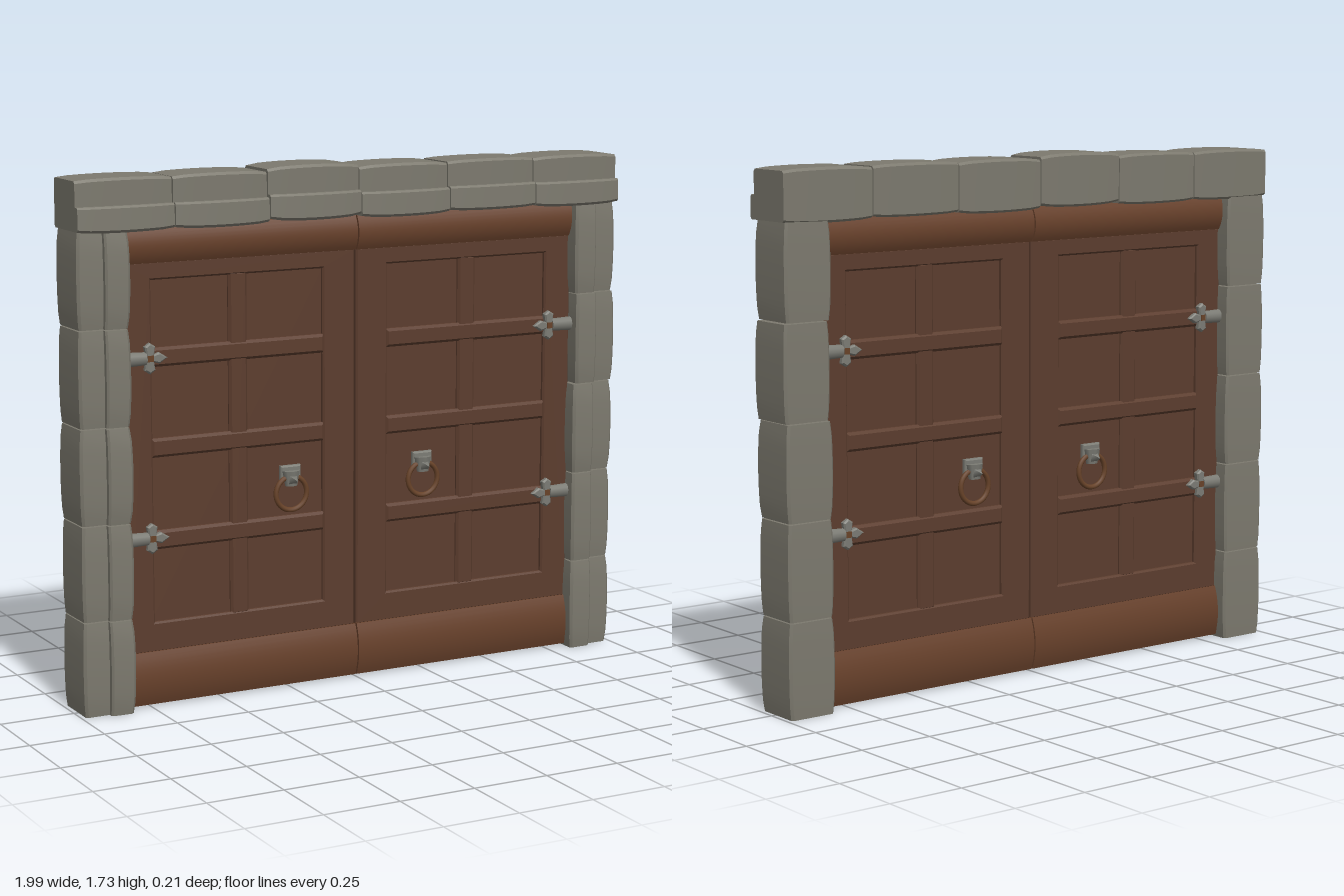
import * as THREE from 'three';
import { toCreasedNormals } from 'three/addons/utils/BufferGeometryUtils.js';

const mat = (name, color) => {
  const m = new THREE.MeshStandardMaterial({ color });
  m.name = name;
  return m;
};

export function createModel() {
  const stone = mat('stone grey', 0x7c796e);
  const wood = mat('panel brown', 0x5c3d2e);
  const railWood = mat('rail brown', 0x68412b);
  const iron = mat('iron grey', 0x7b7b74);
  const bronze = mat('ring brown', 0x674228);

  const model = new THREE.Group();
  model.name = 'doubleDoor';

  const add = (parent, name, geometry, material, x = 0, y = 0, z = 0) => {
    const mesh = new THREE.Mesh(geometry, material);
    mesh.name = name;
    mesh.position.set(x, y, z);
    parent.add(mesh);
    return mesh;
  };

  const polygon = (pts) => new THREE.Shape(pts.map(([x, y]) => new THREE.Vector2(x, y)));
  const rect = (x0, y0, x1, y1) => [[x0, y0], [x1, y0], [x1, y1], [x0, y1]];

  // Slab centred on z = 0 with chamfered edges, kept within its outline
  const slab = (shape, thickness, bevel) => {
    const g = new THREE.ExtrudeGeometry(shape, {
      depth: thickness - 2 * bevel, bevelEnabled: true, bevelSegments: 1,
      bevelThickness: bevel, bevelSize: bevel, bevelOffset: -bevel,
    });
    return g.translate(0, 0, bevel - thickness / 2);
  };

  // Stone with a raised lip on its inner side, swelling between its ends
  const stoneGeometry = (length, swell) => {
    const profile = polygon([
      [0.008, -0.09], [0.016, -0.097], [0.158, -0.097], [0.165, -0.09],
      [0.165, 0.084], [0.157, 0.091], [0.094, 0.089], [0.088, 0.083],
      [0.088, 0.069], [0.016, 0.069], [0.008, 0.062],
    ]);
    const g = new THREE.ExtrudeGeometry(profile, { depth: length, steps: 8, bevelEnabled: false });
    const p = g.attributes.position;
    for (let i = 0; i < p.count; i++) {
      const t = p.getZ(i) / length;
      const s = Math.sqrt(Math.max(0, Math.sin(Math.PI * t))) * swell;
      const u = p.getX(i), w = p.getY(i);
      p.setX(i, u + (u - 0.086) * 0.09 * s);
      p.setY(i, w + (w > 0 ? w * 0.1 * s : w * 0.025 * s));
      p.setZ(i, 0.002 + t * (length - 0.004));
    }
    return toCreasedNormals(g, 0.6);
  };

  const swells = [1, 0.8, 1.1, 0.85, 1, 0.9];
  const X = new THREE.Vector3(1, 0, 0), Y = new THREE.Vector3(0, 1, 0), Z = new THREE.Vector3(0, 0, 1);
  const placeStone = (parent, name, length, swell, u, along, origin) => {
    const g = stoneGeometry(length, swell);
    g.applyMatrix4(new THREE.Matrix4().makeBasis(u, Z, along).setPosition(...origin));
    add(parent, name, g, stone);
  };

  // Side pillars
  const pillarStep = 1.56 / 5;
  for (const side of [1, -1]) {
    const pillar = new THREE.Group();
    pillar.name = side > 0 ? 'leftPillar' : 'rightPillar';
    model.add(pillar);
    for (let i = 0; i < 5; i++) {
      const base = side > 0 ? i * pillarStep : (i + 1) * pillarStep;
      const shift = side > 0 && i === 3 ? 1 : 0.993;
      placeStone(pillar, 'pillarStone', pillarStep, swells[i],
        X.clone().multiplyScalar(-side), Y.clone().multiplyScalar(side), [side * shift, base, 0]);
    }
  }

  // Lintel
  const lintel = new THREE.Group();
  lintel.name = 'lintel';
  model.add(lintel);
  const lintelStep = 1.99 / 6;
  for (let i = 0; i < 6; i++) {
    const raised = i === 3 ? 0.008 : i === 1 ? 0.003 : 0;
    placeStone(lintel, 'lintelStone', lintelStep, i === 3 ? 1.4 : swells[i],
      Y.clone().negate(), X.clone().negate(), [0.995 - i * lintelStep, 1.723 + raised, 0]);
  }

  // Rail with bowed front and back, running along x
  const bowedRail = (height, width) => {
    const s = new THREE.Shape();
    const h = height / 2;
    s.moveTo(-0.05, -h);
    s.lineTo(0.05, -h);
    s.quadraticCurveTo(0.085, 0, 0.05, h);
    s.lineTo(-0.05, h);
    s.quadraticCurveTo(-0.085, 0, -0.05, -h);
    const g = new THREE.ExtrudeGeometry(s, { depth: width, bevelEnabled: false, curveSegments: 10 });
    g.translate(0, 0, -width / 2).rotateY(Math.PI / 2);
    return toCreasedNormals(g, 0.6);
  };

  // Door leaves, each with a frame, eight panels and bowed rails
  const barHeights = [1.143, 0.85, 0.55];
  for (const side of [1, -1]) {
    const leaf = new THREE.Group();
    leaf.name = side > 0 ? 'leftLeaf' : 'rightLeaf';
    leaf.position.x = side * 0.4175;
    model.add(leaf);
    const mid = side * 0.0075;
    const frame = polygon(rect(-0.4145, 0.18, 0.4145, 1.45));
    frame.holes.push(new THREE.Path(rect(mid - 0.305, 0.28, mid + 0.305, 1.39)
      .reverse().map(([x, y]) => new THREE.Vector2(x, y))));
    add(leaf, 'leafFrame', slab(frame, 0.09, 0.006), wood);
    add(leaf, 'panels', new THREE.BoxGeometry(0.64, 1.14, 0.06), wood, mid, 0.835);
    add(leaf, 'panelStile', slab(polygon(rect(-0.033, 0.27, 0.033, 1.4)), 0.086, 0.008), wood, mid);
    for (const y of barHeights) {
      add(leaf, 'crossBar', slab(polygon(rect(-0.31, -0.031, 0.31, 0.031)), 0.094, 0.009), wood, mid, y);
    }
    add(leaf, 'bottomRail', bowedRail(0.175, 0.83), railWood, 0, 0.0975);
    add(leaf, 'topRail', bowedRail(0.115, 0.83), railWood, 0, 1.5025);
  }

  // Hinge strap ending in a four-armed finial that points to -x
  const finial = polygon([
    [0.04, -0.014], [0.014, -0.012], [0.018, -0.038], [0, -0.05], [-0.018, -0.038], [-0.014, -0.012],
    [-0.032, -0.018], [-0.06, 0], [-0.032, 0.018], [-0.014, 0.012],
    [-0.018, 0.038], [0, 0.05], [0.018, 0.038], [0.014, 0.012], [0.04, 0.014],
  ]);
  const finialGeometry = slab(finial, 0.024, 0.005);
  const strapGeometry = new THREE.CylinderGeometry(0.024, 0.021, 0.085, 12).rotateZ(-Math.PI / 2).scale(1, 1, 0.8);
  const studGeometry = new THREE.BoxGeometry(0.02, 0.02, 0.008);

  const addHinge = (parent, side, y) => {
    const hinge = new THREE.Group();
    hinge.name = 'hinge';
    hinge.position.set(side * 0.742, y, 0.05);
    hinge.rotation.z = side > 0 ? 0 : Math.PI;
    parent.add(hinge);
    add(hinge, 'hingeFinial', finialGeometry, iron);
    add(hinge, 'hingeStrap', strapGeometry, iron, 0.055);
    add(hinge, 'hingeStud', studGeometry, bronze, 0, 0, 0.01);
  };

  // Ring handle: plate, pointed boss, holder and hanging ring
  const plateGeometry = slab(polygon(rect(-0.037, -0.024, 0.037, 0.024)), 0.02, 0.005);
  const holderGeometry = new THREE.CylinderGeometry(0.032, 0.022, 0.05, 8).scale(1, 1, 0.7);
  const bossGeometry = new THREE.ConeGeometry(0.022, 0.035, 4).rotateX(Math.PI / 2).rotateZ(Math.PI / 4);
  const ringGeometry = new THREE.TorusGeometry(0.056, 0.0085, 10, 32);

  const addHandle = (parent, x) => {
    const handle = new THREE.Group();
    handle.name = 'ringHandle';
    handle.position.set(x, 0.66, 0);
    parent.add(handle);
    add(handle, 'handlePlate', plateGeometry, iron, 0, 0.068, 0.052);
    add(handle, 'ringHolder', holderGeometry, iron, 0, 0.05, 0.062);
    add(handle, 'handleBoss', bossGeometry, iron, 0, 0.047, 0.089);
    add(handle, 'ring', ringGeometry, bronze, 0, 0, 0.062);
  };

  // The same ironwork on both faces of the door
  for (const face of ['frontIronwork', 'backIronwork']) {
    const ironwork = new THREE.Group();
    ironwork.name = face;
    ironwork.rotation.y = face === 'backIronwork' ? Math.PI : 0;
    model.add(ironwork);
    for (const side of [1, -1]) {
      addHinge(ironwork, side, 1.143);
      addHinge(ironwork, side, 0.56);
      addHandle(ironwork, side * 0.247);
    }
  }

  return model;
}
